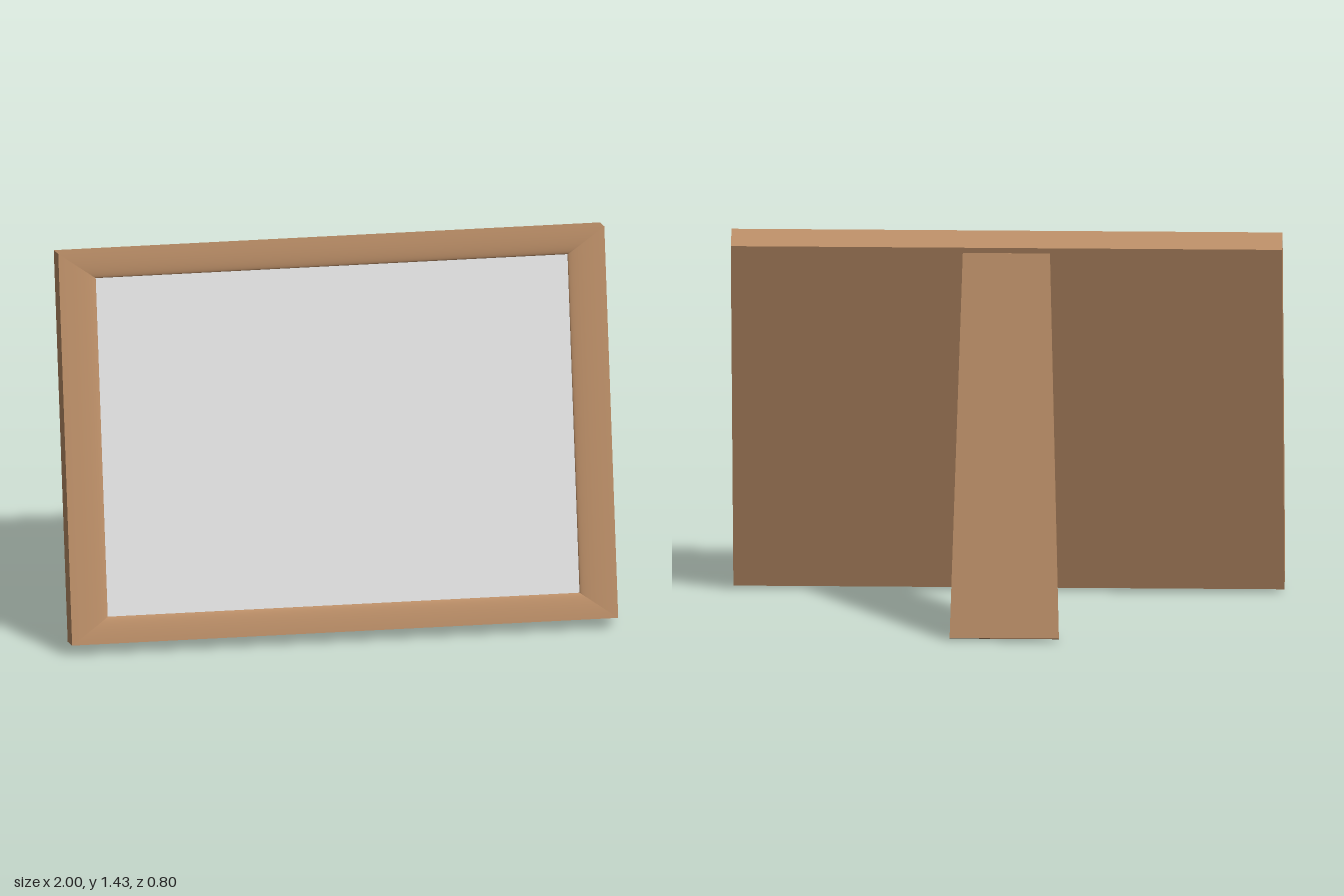
import * as THREE from 'three';

const W = 2, H = 1.432, T = 0.124;      // overall frame size
const BX = 0.136, BY = 0.097, D = 0.017; // border widths and picture recess
const CORNERS = [[-1, -1], [1, -1], [1, 1], [-1, 1]];

const wood = new THREE.MeshStandardMaterial({ color: 0xbc8f68 });
wood.name = 'wood';
const paper = new THREE.MeshStandardMaterial({ color: 0xf8f8f8 });
paper.name = 'paper';

function part(name, geometry, material) {
  const mesh = new THREE.Mesh(geometry, material);
  mesh.name = name;
  return mesh;
}

// Mitred strip along side k; profile(t) gives [inset 0..1, depth]
function strip(k, segments, profile) {
  const g = new THREE.PlaneGeometry(1, 1, 1, segments);
  const p = g.attributes.position;
  for (let i = 0; i < p.count; i++) {
    const [sx, sy] = CORNERS[(k + (p.getX(i) > 0 ? 1 : 0)) % 4];
    const [inset, depth] = profile(p.getY(i) + 0.5);
    p.setXYZ(i, sx * (W / 2 - BX * inset), H / 2 + sy * (H / 2 - BY * inset), -depth);
  }
  g.computeVertexNormals();
  return g;
}

export function createModel() {
  const model = new THREE.Group();
  model.name = 'pictureFrame';

  // Leaning frame, pivoting on its lower front edge
  const frame = new THREE.Group();
  frame.name = 'frame';
  frame.position.set(0, 0.045, 0.4);
  frame.rotation.x = -Math.PI / 12;
  model.add(frame);

  // Moulding rounds over towards the picture; outer walls are flat
  const roundOver = (t) => {
    const a = t * Math.PI / 2;
    return [Math.sin(a), D * (1 - Math.cos(a))];
  };
  const wall = (t) => [0, T * (1 - t)];
  ['bottom', 'left', 'top', 'right'].forEach((side, k) => {
    frame.add(part(side + 'Moulding', strip(k, 16, roundOver), wood));
    frame.add(part(side + 'Edge', strip(k, 1, wall), wood));
  });

  // Picture sheet and back board
  const picture = part('picture', new THREE.PlaneGeometry(W - 2 * BX, H - 2 * BY), paper);
  picture.position.set(0, H / 2, -D);
  const back = part('backBoard', new THREE.PlaneGeometry(W, H), wood);
  back.position.set(0, H / 2, -T);
  back.rotation.y = Math.PI;
  frame.add(picture, back);

  // Easel leg, tapering towards the top where it meets the back board
  const leg = new THREE.BoxGeometry(1, 1, 1).toNonIndexed();
  const p = leg.attributes.position;
  for (let i = 0; i < p.count; i++) {
    const top = p.getY(i) > 0, front = p.getZ(i) > 0;
    const y = top ? 1.375 : front ? 0 : 0.012;
    const z = top ? (front ? -0.068 : -0.085) : (front ? -0.365 : -0.4);
    p.setXYZ(i, Math.sign(p.getX(i)) * (top ? 0.158 : 0.198), y, z);
  }
  leg.computeVertexNormals();
  model.add(part('easelLeg', leg, wood));

  return model;
}
